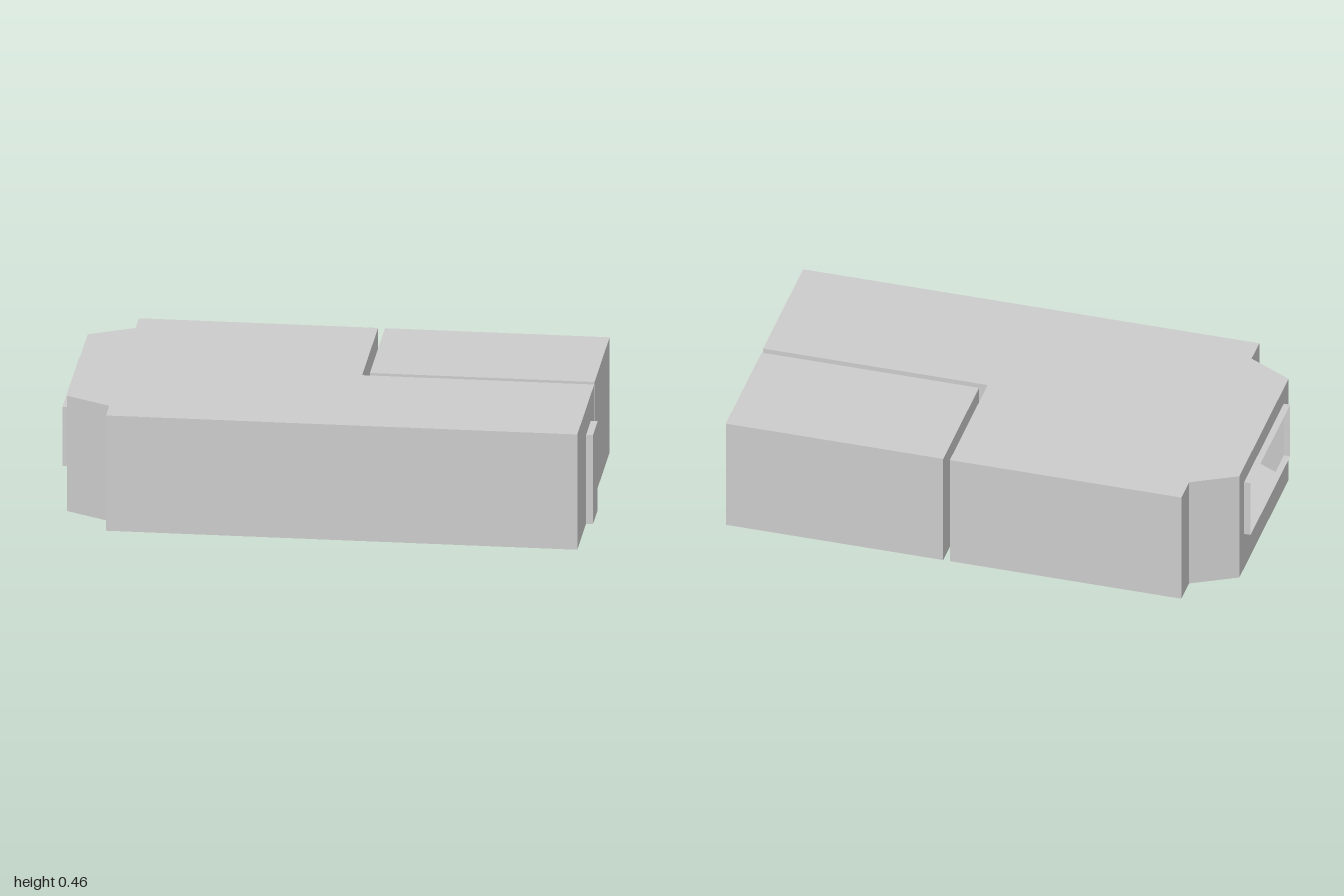
import * as THREE from 'three';

const HEIGHT = 0.46, FLOOR = 0.004;
const material = new THREE.MeshStandardMaterial({ color: 0xcccccc, side: THREE.DoubleSide, flatShading: true });

function add(parent, name, geometry, x = 0, y = 0, z = 0) {
  const mesh = new THREE.Mesh(geometry, material);
  mesh.name = name;
  mesh.position.set(x, y, z);
  parent.add(mesh);
  return mesh;
}

// Box given by its minimum and maximum corners
function addBox(parent, name, a, b) {
  const size = b.map((v, i) => v - a[i]);
  return add(parent, name, new THREE.BoxGeometry(...size), ...a.map((v, i) => v + size[i] / 2));
}

function rectangle(Type, x0, y0, x1, y1) {
  const r = new Type();
  r.moveTo(x0, y0);
  r.lineTo(x1, y0);
  r.lineTo(x1, y1);
  r.lineTo(x0, y1);
  r.closePath();
  return r;
}

// Hollow room: floor slab, ceiling and one wall per side of the plan.
// openings: { wallIndex: [u0, y0, u1, y1] }, u measured along that wall
function addRoom(parent, name, plan, openings = {}) {
  const room = new THREE.Group();
  room.name = name;
  parent.add(room);
  const shape = new THREE.Shape(plan.map(([x, z]) => new THREE.Vector2(x, -z)));
  const slab = new THREE.ExtrudeGeometry(shape, { depth: FLOOR, bevelEnabled: false });
  add(room, 'floor', slab.rotateX(-Math.PI / 2));
  add(room, 'ceiling', new THREE.ShapeGeometry(shape).rotateX(-Math.PI / 2), 0, HEIGHT, 0);
  plan.forEach(([x, z], i) => {
    const [nx, nz] = plan[(i + 1) % plan.length];
    const wall = rectangle(THREE.Shape, 0, FLOOR, Math.hypot(nx - x, nz - z), HEIGHT);
    if (openings[i]) wall.holes.push(rectangle(THREE.Path, ...openings[i]));
    const mesh = add(room, 'wall', new THREE.ShapeGeometry(wall), x, 0, z);
    mesh.rotation.y = -Math.atan2(nz - z, nx - x);
  });
}

export function createModel() {
  const model = new THREE.Group();
  model.name = 'floorPlan';

  // L-shaped main room with a bay end; the bay wall holds the window opening
  const mainPlan = [
    [-0.805, -0.53], [-0.805, -0.425], [-0.975, -0.335], [-0.975, 0.335], [-0.805, 0.425],
    [-0.805, 0.53], [0.972, 0.53], [0.972, -0.015], [0.097, -0.015], [0.097, -0.53],
  ];
  addRoom(model, 'mainRoom', mainPlan, { 2: [0.065, 0.155, 0.605, 0.39] });

  // Small room set into the corner, separated by the wall gap
  addRoom(model, 'sideRoom', [[0.123, -0.53], [0.123, -0.042], [0.97, -0.042], [0.97, -0.53]]);

  // Window reveal: a short open tunnel through the bay wall
  const reveal = new THREE.Group();
  reveal.name = 'windowReveal';
  model.add(reveal);
  for (const y of [0.155, 0.39]) {
    add(reveal, 'revealSill', new THREE.PlaneGeometry(0.025, 0.54).rotateX(-Math.PI / 2), -0.9875, y, 0);
  }
  for (const z of [-0.27, 0.27]) {
    add(reveal, 'revealSide', new THREE.PlaneGeometry(0.025, 0.235), -0.9875, 0.2725, z);
  }

  // Doors filling the wall thickness
  addBox(model, 'entranceDoor', [0.972, 0, 0.095], [0.998, 0.355, 0.247]);
  addBox(model, 'connectingDoor', [0.65, 0, -0.042], [0.802, 0.355, -0.015]);
  return model;
}
